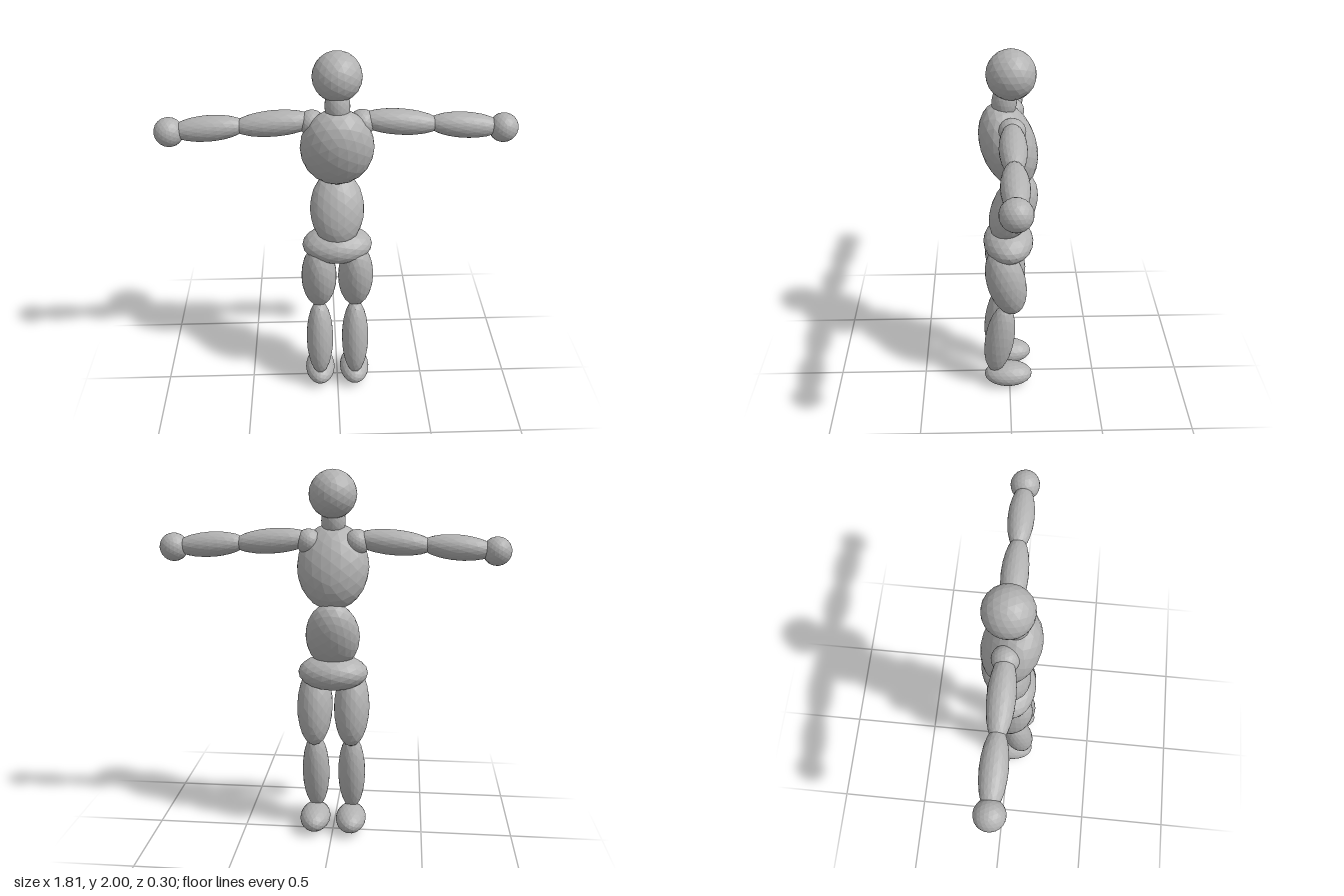
import * as THREE from 'three';

export function createModel() {
  const model = new THREE.Group();
  model.name = 'mannequin';
  const clay = new THREE.MeshStandardMaterial({ color: 0xb2b2b2 });
  clay.name = 'grey clay';

  // Faceted unit ball shared by every body part
  const ball = new THREE.IcosahedronGeometry(1, 3);
  ball.computeVertexNormals();

  // One ellipsoid: centre, radii, and tilt around x and z
  function part(name, centre, radii, tiltX = 0, tiltZ = 0) {
    const mesh = new THREE.Mesh(ball, clay);
    mesh.name = name;
    mesh.position.set(...centre);
    mesh.scale.set(...radii);
    mesh.rotation.set(tiltX, 0, tiltZ);
    model.add(mesh);
  }

  // Head and trunk
  part('head', [0, 1.877, -0.008], [0.123, 0.123, 0.123]);
  part('neck', [0, 1.74, 0.025], [0.063, 0.1, 0.062], -0.1);
  part('chest', [0, 1.508, 0.005], [0.188, 0.227, 0.14], 0.32);
  part('waist', [0, 1.14, -0.02], [0.144, 0.203, 0.111], -0.4);
  part('pelvis', [0, 0.935, 0.005], [0.188, 0.097, 0.135]);

  // Limbs, mirrored left (+x) and right (-x)
  for (const [side, s] of [['left', 1], ['right', -1]]) {
    part(side + 'Shoulder', [s * 0.125, 1.637, -0.01], [0.066, 0.066, 0.068]);
    part(side + 'UpperArm', [s * 0.31, 1.638, -0.01], [0.21, 0.065, 0.067], 0, -s * 0.08);
    part(side + 'Forearm', [s * 0.635, 1.616, -0.01], [0.19, 0.065, 0.066], 0, -s * 0.075);
    part(side + 'Hand', [s * 0.832, 1.6, -0.008], [0.074, 0.074, 0.074]);
    part(side + 'Thigh', [s * 0.101, 0.735, 0.02], [0.097, 0.22, 0.107], 0.21);
    part(side + 'Shin', [s * 0.101, 0.33, 0.057], [0.076, 0.237, 0.083], -0.145);
    part(side + 'Foot', [s * 0.101, 0.07, 0.008], [0.085, 0.069, 0.138]);
  }
  return model;
}
